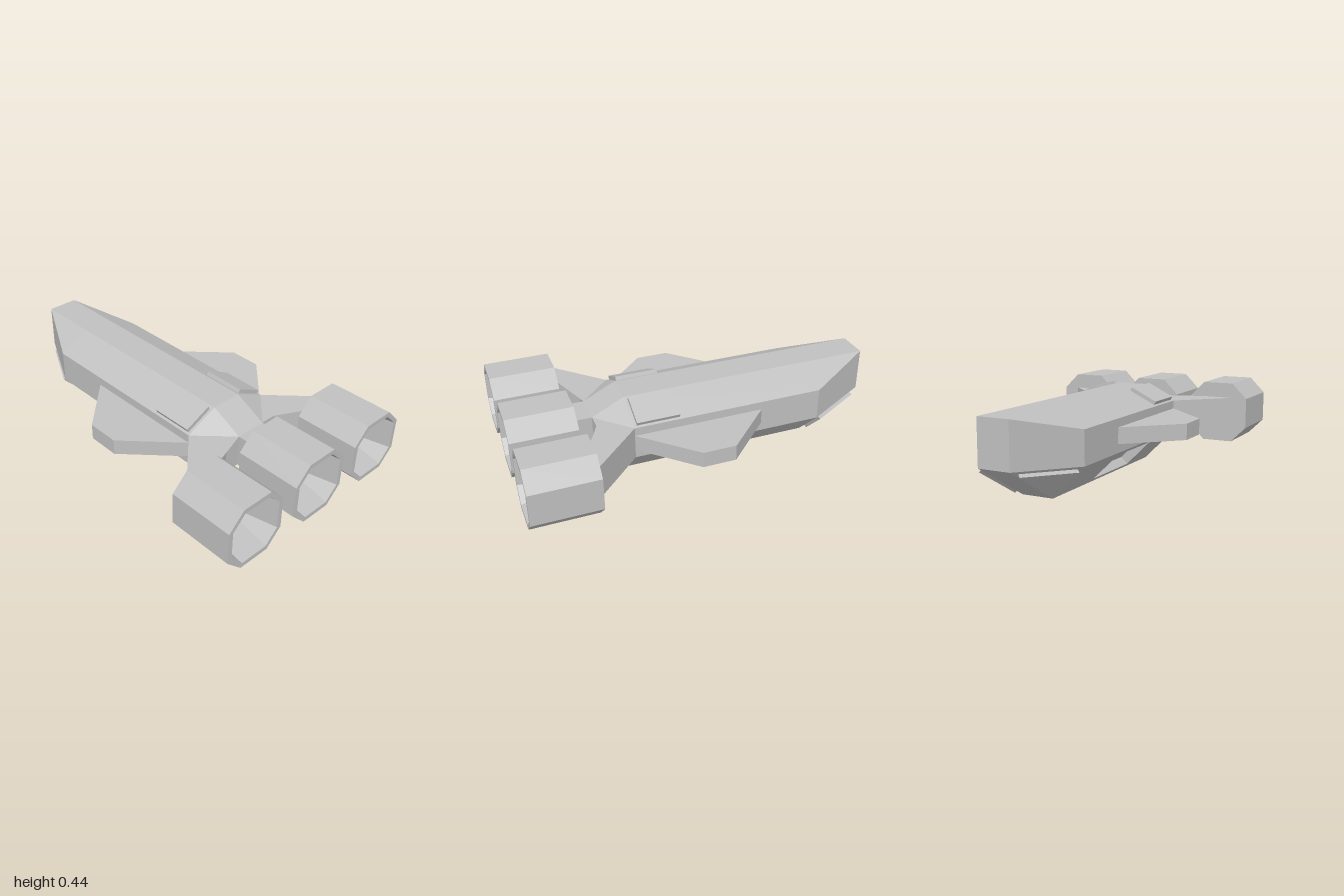
import * as THREE from 'three';

const V = (x, y, z) => new THREE.Vector3(x, y, z);

// Flat-faced geometry from a list of polygons, fanned from their first corner
function facesGeometry(polys) {
  const out = [];
  const area = new THREE.Triangle();
  for (const p of polys) {
    for (let i = 1; i < p.length - 1; i++) {
      area.set(p[0], p[i], p[i + 1]);
      if (area.getArea() < 1e-8) continue;
      for (const v of [p[0], p[i], p[i + 1]]) out.push(v.x, v.y, v.z);
    }
  }
  const g = new THREE.BufferGeometry();
  g.setAttribute('position', new THREE.Float32BufferAttribute(out, 3));
  g.computeVertexNormals();
  return g;
}

// Polygons joining successive rings, closed at both ends
function loft(rings, replaceQuad = (q) => [q]) {
  const polys = [[...rings[0]].reverse(), rings[rings.length - 1]];
  for (let r = 0; r < rings.length - 1; r++) {
    const a = rings[r], b = rings[r + 1];
    for (let i = 0; i < a.length; i++) {
      const j = (i + 1) % a.length;
      polys.push(...replaceQuad([a[i], a[j], b[j], b[i]], r, i));
    }
  }
  return polys;
}

// Replace a quad by a rim, four walls and a sunken floor
function recess(q, u0, u1, v0, v1, depth) {
  const at = (u, v) => q[0].clone().lerp(q[1], u).lerp(q[3].clone().lerp(q[2], u), v);
  const hole = [at(u0, v0), at(u1, v0), at(u1, v1), at(u0, v1)];
  const n = q[1].clone().sub(q[0]).cross(q[3].clone().sub(q[0])).normalize();
  const floor = hole.map((p) => p.clone().addScaledVector(n, -depth));
  const polys = [floor];
  for (let i = 0; i < 4; i++) {
    const j = (i + 1) % 4;
    polys.push([q[i], q[j], hole[j], hole[i]], [hole[i], hole[j], floor[j], floor[i]]);
  }
  return polys;
}

// Mirror a ring across x, keeping its winding
const mirrored = (ring, s) =>
  s > 0 ? ring : ring.map((p) => V(-p.x, p.y, p.z)).reverse();

// Vertical prism from an x/z outline
function prism(outline, y0, y1, s) {
  return facesGeometry(loft([y0, y1].map((y) =>
    mirrored(outline.map(([x, z]) => V(x, y, z)), s))));
}

// Symmetric eight-point hull section from its right half, bottom to top
function section(z, half) {
  const [keel, low, high, top] = half;
  return [low, high, top, [-top[0], top[1]], [-high[0], high[1]], [-low[0], low[1]],
    [-keel[0], keel[1]], keel].map(([x, y]) => V(x, y, z));
}

// Octagon ring for the engines
function octagon(z, r, f) {
  return [[r, -f], [r, f], [f, r], [-f, r], [-r, f], [-r, -f], [-f, -r], [f, -r]]
    .map(([x, y]) => V(x, y, z));
}

export function createModel() {
  const model = new THREE.Group();
  model.name = 'spaceship';
  const grey = new THREE.MeshStandardMaterial({ color: 0xc0c0c0 });
  grey.name = 'hull grey';
  const add = (name, geometry) => {
    const mesh = new THREE.Mesh(geometry, grey);
    mesh.name = name;
    model.add(mesh);
    return mesh;
  };

  // Hull with pointed nose, tapered tail and a sunken bay in each lower side
  const full = [[0.085, 0], [0.26, 0.175], [0.26, 0.35], [0.085, 0.435]];
  const rings = [
    section(-1, [[0.085, 0.2], [0.085, 0.2], [0.085, 0.435], [0.085, 0.435]]),
    section(-0.65, full),
    section(0.39, full),
    section(0.562, [[0.085, 0.175], [0.085, 0.175], [0.085, 0.35], [0.085, 0.35]]),
  ];
  add('hull', facesGeometry(loft(rings, (q, r, i) =>
    r === 1 && (i === 5 || i === 7) ? recess(q, 0.115, 0.885, 0.356, 0.726, 0.05) : [q])));

  // Tail boom to the middle engine
  const boom = add('tailBoom', new THREE.BoxGeometry(0.17, 0.175, 0.1));
  boom.position.set(0, 0.2625, 0.605);

  for (const s of [1, -1]) {
    const side = s > 0 ? 'left' : 'right';

    // Stub wing
    add(side + 'Wing', prism(
      [[0.26, 0.39], [0.52, 0.125], [0.52, -0.05], [0.26, -0.31]], 0.22, 0.305, s));

    // Engine strut
    add(side + 'Strut', prism(
      [[0.17, 0.562], [0.345, 0.65], [0.52, 0.65], [0.26, 0.39], [0.085, 0.562]], 0.175, 0.35, s));

    // Hatch lying on the sloped shoulder
    const hatch = add(side + 'Hatch', new THREE.BoxGeometry(0.16, 0.022, 0.23));
    hatch.position.set(s * 0.18, 0.4, 0.26);
    hatch.rotation.z = -s * 0.453;

    // Raised triangular plate under the nose
    const corners = [V(0.26, 0.175, -0.65), V(0.085, 0, -0.65), V(0.085, 0.2, -1)];
    const tri = new THREE.Triangle(...corners);
    const mid = tri.getMidpoint(V(0, 0, 0)), n = tri.getNormal(V(0, 0, 0));
    const base = corners.map((p) => p.clone().lerp(mid, 0.2));
    const top = base.map((p) => p.clone().addScaledVector(n, 0.02));
    add(side + 'NosePlate', facesGeometry(loft([mirrored(base, s), mirrored(top, s)])));
  }

  // Three hollow octagonal engines
  const engine = facesGeometry(loft([
    octagon(0.65, 0.172, 0.086),
    octagon(1, 0.172, 0.086),
    octagon(1, 0.148, 0.078),
    octagon(0.8, 0.106, 0.083),
  ]));
  [['right', -0.433], ['middle', 0], ['left', 0.433]].forEach(([side, x]) => {
    add(side + 'Engine', engine).position.set(x, 0.2625, 0);
  });

  return model;
}
